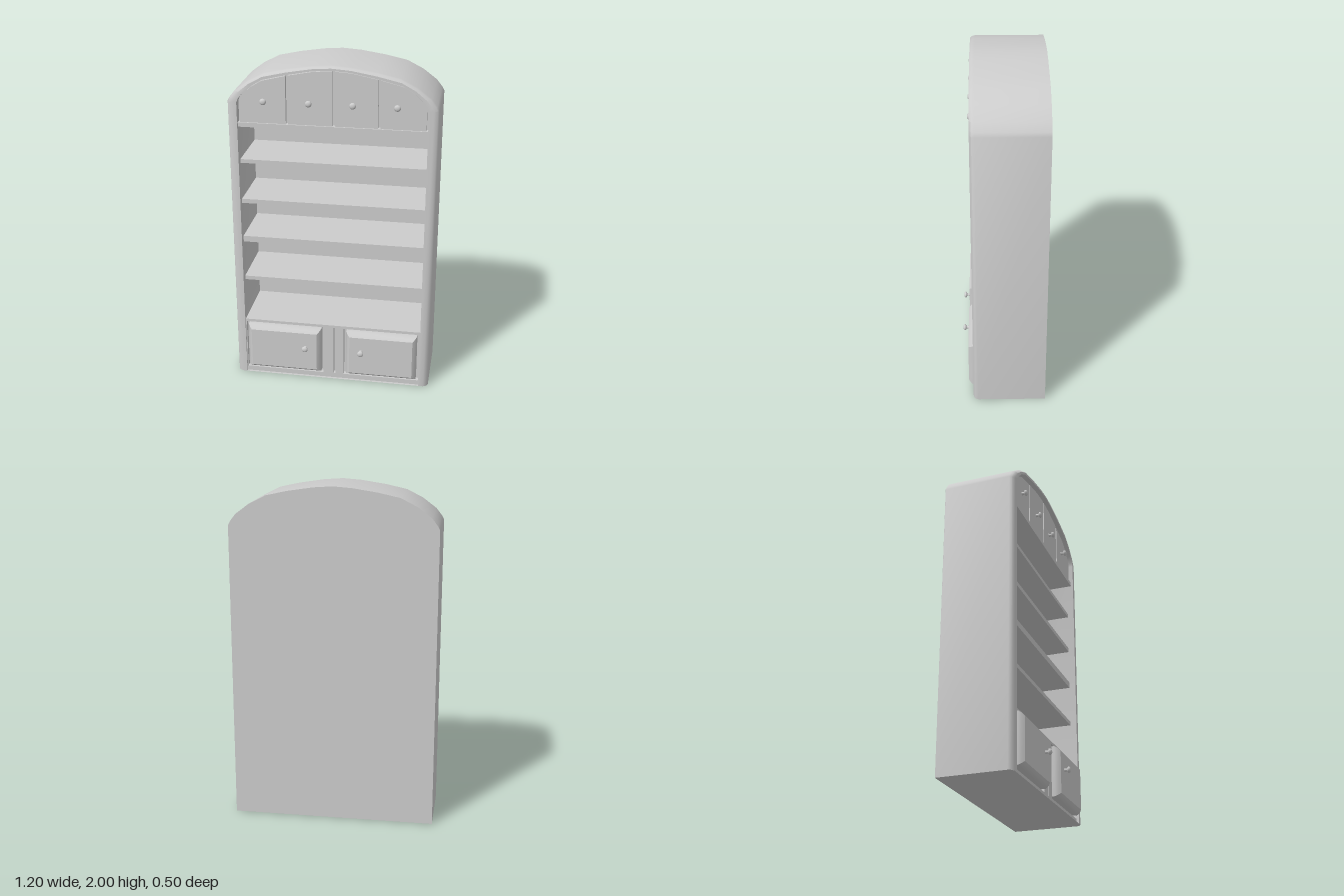
import * as THREE from 'three';
import { toCreasedNormals } from 'three/addons/utils/BufferGeometryUtils.js';

const BACK = -0.25, INNER_BACK = -0.21, FRONT = 0.18, PANEL = 0.16;

// Right half of the arched outlines, from the floor to the crown
const OUTER = [[0.6, 0], [0.6, 1.77], [0.588, 1.793], [0.555, 1.835], [0.475, 1.895], [0.38, 1.943], [0.255, 1.97], [0.11, 1.992], [0, 2]];
const INNER = [[0.543, 0], [0.543, 1.77], [0.533, 1.793], [0.505, 1.828], [0.462, 1.868], [0.4, 1.905], [0.255, 1.94], [0.11, 1.968], [0, 1.976]];

const mirrored = (half) => [...half, ...half.slice(0, -1).reverse().map(([x, y]) => [-x, y])];
const shapeOf = (pts) => new THREE.Shape(pts.map(([x, y]) => new THREE.Vector2(x, y)));
const rect = (x0, y0, x1, y1) => [[x0, y0], [x1, y0], [x1, y1], [x0, y1]];

// Joins rows of points into a surface
function loft(rows) {
  const n = rows[0].length, index = [];
  for (let r = 0; r < rows.length - 1; r++) {
    for (let i = 0; i < n - 1; i++) {
      const a = r * n + i, b = a + 1, c = a + n, d = c + 1;
      index.push(a, b, c, b, d, c);
    }
  }
  const g = new THREE.BufferGeometry();
  g.setAttribute('position', new THREE.Float32BufferAttribute(rows.flat(2), 3));
  g.setIndex(index);
  return toCreasedNormals(g, 0.65);
}

// Height of the inner arch above a given x
function archHeight(x) {
  const ax = Math.abs(x);
  for (let i = 1; i < INNER.length - 1; i++) {
    const [x0, y0] = INNER[i], [x1, y1] = INNER[i + 1];
    if (ax <= x0 && ax >= x1) return y0 + (y1 - y0) * (x0 - ax) / (x0 - x1);
  }
  return 1.77;
}

export function createModel() {
  const model = new THREE.Group();
  model.name = 'bookcase';
  const mat = new THREE.MeshStandardMaterial({ color: 0xcccccc, side: THREE.DoubleSide });

  const add = (name, geometry, x = 0, y = 0, z = 0) => {
    const m = new THREE.Mesh(geometry, mat);
    m.name = name;
    m.position.set(x, y, z);
    model.add(m);
    return m;
  };
  const box = (name, x0, x1, y0, y1, z0, z1) =>
    add(name, new THREE.BoxGeometry(x1 - x0, y1 - y0, z1 - z0), (x0 + x1) / 2, (y0 + y1) / 2, (z0 + z1) / 2);
  const slab = (name, shape, z0, z1) =>
    add(name, new THREE.ExtrudeGeometry(shape, { depth: z1 - z0, bevelEnabled: false }), 0, 0, z0);

  // Arched carcass: outer side, rounded front edge, front rim, inner side
  const outer = mirrored(OUTER), inner = mirrored(INNER);
  const row = (t, z) => outer.map(([x, y], i) => [x + (inner[i][0] - x) * t, y + (inner[i][1] - y) * t, z]);
  add('carcass', loft([row(0, BACK), row(0, 0.152), row(0.13, 0.168), row(0.5, FRONT), row(1, FRONT), row(1, INNER_BACK)].reverse()
    .map((r) => r.slice().reverse())));

  // Back board and underside
  slab('backBoard', shapeOf(outer), BACK, BACK + 0.001);
  slab('innerBack', shapeOf(inner), BACK + 0.002, INNER_BACK);
  const foot = [[0.6, BACK], [0.6, 0.152], [0.593, 0.168], [0.571, FRONT]];
  const footShape = shapeOf([...foot, ...foot.slice().reverse().map(([x, z]) => [-x, z])]);
  add('underside', new THREE.ShapeGeometry(footShape).rotateX(Math.PI / 2));

  // Open shelves, set back from the front
  [[0.633, 0.657], [0.888, 0.925], [1.14, 1.166], [1.393, 1.416]].forEach(([y0, y1]) =>
    box('shelf', -0.543, 0.543, y0, y1, INNER_BACK, 0.14));
  box('topShelf', -0.543, 0.543, 1.622, 1.648, INNER_BACK, 0.165);
  box('cabinetTop', -0.543, 0.543, 0.355, 0.37, INNER_BACK, PANEL + 0.005);

  // Knob turned about z, with its foot at z = 0
  const profile = new THREE.SplineCurve([[0.011, 0], [0.008, 0.008], [0.009, 0.016], [0.018, 0.022], [0.018, 0.028], [0.011, 0.035], [0, 0.037]]
    .map(([x, y]) => new THREE.Vector2(x, y))).getPoints(18);
  profile.forEach((p) => { p.x = Math.max(0, p.x); });
  const knobGeo = new THREE.LatheGeometry(profile, 20).rotateX(Math.PI / 2);

  // Row of four panels under the arch, narrow gaps between them
  const arch = [[0.543, 1.64], ...INNER.slice(1)];
  slab('archBacking', shapeOf(mirrored(arch)), 0.115, 0.13);
  const gap = 0.01;
  [[-0.532, -0.265, -0.39], [-0.252, 0.003, -0.13], [0.017, 0.26, 0.12], [0.274, 0.532, 0.37]].forEach(([x0, x1, knobX]) => {
    const pts = [[x0, 1.648], [x1, 1.648]];
    for (let i = 0; i <= 12; i++) {
      const x = x1 + (x0 - x1) * i / 12;
      pts.push([x, archHeight(x) - gap]);
    }
    slab('archPanel', shapeOf(pts), 0.125, 0.155);
    add('archKnob', knobGeo, knobX, 1.78, 0.155);
  });

  // Cabinet front with two door openings and a centre groove
  const front = shapeOf(rect(-0.543, 0, 0.543, 0.355));
  const openings = [[-0.538, -0.055], [0.072, 0.538]];
  openings.forEach(([x0, x1]) => front.holes.push(shapeOf(rect(x0, 0.03, x1, 0.353))));
  front.holes.push(shapeOf(rect(0.009, 0.03, 0.02, 0.353)));
  slab('cabinetFront', front, 0.12, PANEL + 0.005);
  box('cabinetBacking', -0.543, 0.543, 0.005, 0.35, 0.1, 0.135);

  // Raised doors: a chamfered block in each opening
  [[-0.522, -0.066, -0.16], [0.09, 0.524, 0.185]].forEach(([x0, x1, knobX]) => {
    const ring = (d, z) => [...rect(x0 + d, 0.047 + d, x1 - d, 0.345 - d), [x0 + d, 0.047 + d]].map(([x, y]) => [x, y, z]);
    add('door', loft([ring(0, 0.13), ring(0, 0.178), ring(0.011, 0.196), ring(0.024, 0.208)]));
    const [a, b, c, d] = [x0 + 0.024, 0.071, x1 - 0.024, 0.321];
    add('doorFace', new THREE.ShapeGeometry(shapeOf(rect(a, b, c, d))), 0, 0, 0.208);
    add('doorKnob', knobGeo, knobX, 0.225, 0.208);
  });

  return model;
}
